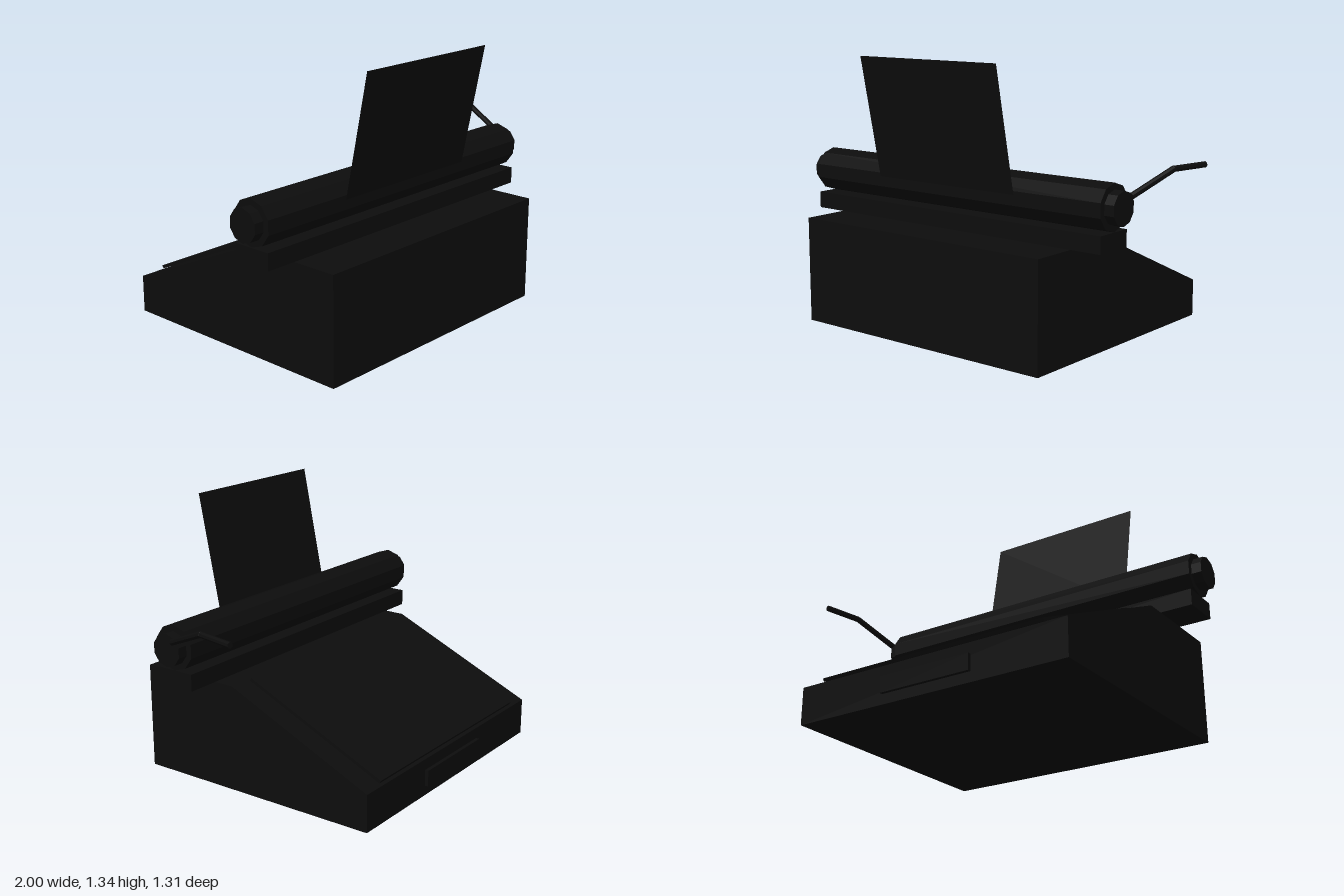
import * as THREE from 'three';

export function createModel() {
  const group = new THREE.Group();
  group.name = 'typewriter';
  const black = new THREE.MeshStandardMaterial({ name: 'black', color: 0x0d0d0d, side: THREE.DoubleSide, flatShading: true });

  const add = (name, geometry, x = 0, y = 0, z = 0) => {
    const mesh = new THREE.Mesh(geometry, black);
    mesh.name = name;
    mesh.position.set(x, y, z);
    group.add(mesh);
    return mesh;
  };

  // Extrude a side profile of [z, y] points from x0 to x1
  const sideExtrude = (points, x0, x1) => {
    const shape = new THREE.Shape(points.map(([z, y]) => new THREE.Vector2(-z, y)));
    return new THREE.ExtrudeGeometry(shape, { depth: x1 - x0, bevelEnabled: false })
      .rotateY(Math.PI / 2).translate(x0, 0, 0);
  };

  // Ten-sided cylinder along x
  const barrel = (radius, length) =>
    new THREE.CylinderGeometry(radius, radius, length, 10, 1, false, Math.PI / 2).rotateZ(Math.PI / 2);

  // Wedge-shaped body
  add('body', sideExtrude([[0.655, 0], [0.655, 0.525], [0.13, 0.525], [-0.635, 0.185], [-0.635, 0]], -0.79, 0.655));

  // Thin panel floating just above the slope
  add('slopePanel', sideExtrude([[0.117, 0.523], [0.109, 0.537], [-0.63, 0.208], [-0.622, 0.194]], -0.67, 0.54));

  // Plate on the low end
  add('endPlate', new THREE.BoxGeometry(0.48, 0.08, 0.03), -0.065, 0.09, -0.638);

  // Carriage rail, roller and knobs
  add('carriageRail', new THREE.BoxGeometry(1.77, 0.082, 0.2), -0.065, 0.568, 0.33);
  add('roller', barrel(0.11, 1.77), -0.065, 0.72, 0.33);
  for (const side of [-1, 1]) {
    add(side > 0 ? 'leftKnob' : 'rightKnob', barrel(0.08, 0.06), -0.065 + side * 0.905, 0.72, 0.33);
  }

  // Sheet of paper leaning forward
  const paper = add('paper', new THREE.PlaneGeometry(0.84, 0.607), -0.065, 1.0375, 0.51);
  paper.rotation.x = Math.atan2(0.12, 0.595);

  // Bent return lever
  const path = [[0.878, 0.77, 0.285], [0.943, 0.868, 0.05], [0.983, 0.868, -0.153]].map((p) => new THREE.Vector3(...p));
  for (let i = 0; i < 2; i++) {
    const dir = path[i + 1].clone().sub(path[i]);
    const rod = add('leverRod', new THREE.CylinderGeometry(0.015, 0.015, dir.length(), 8));
    rod.position.copy(path[i]).addScaledVector(dir, 0.5);
    rod.quaternion.setFromUnitVectors(new THREE.Vector3(0, 1, 0), dir.normalize());
  }
  add('leverElbow', new THREE.SphereGeometry(0.015, 8, 6), ...path[1].toArray());

  return group;
}
